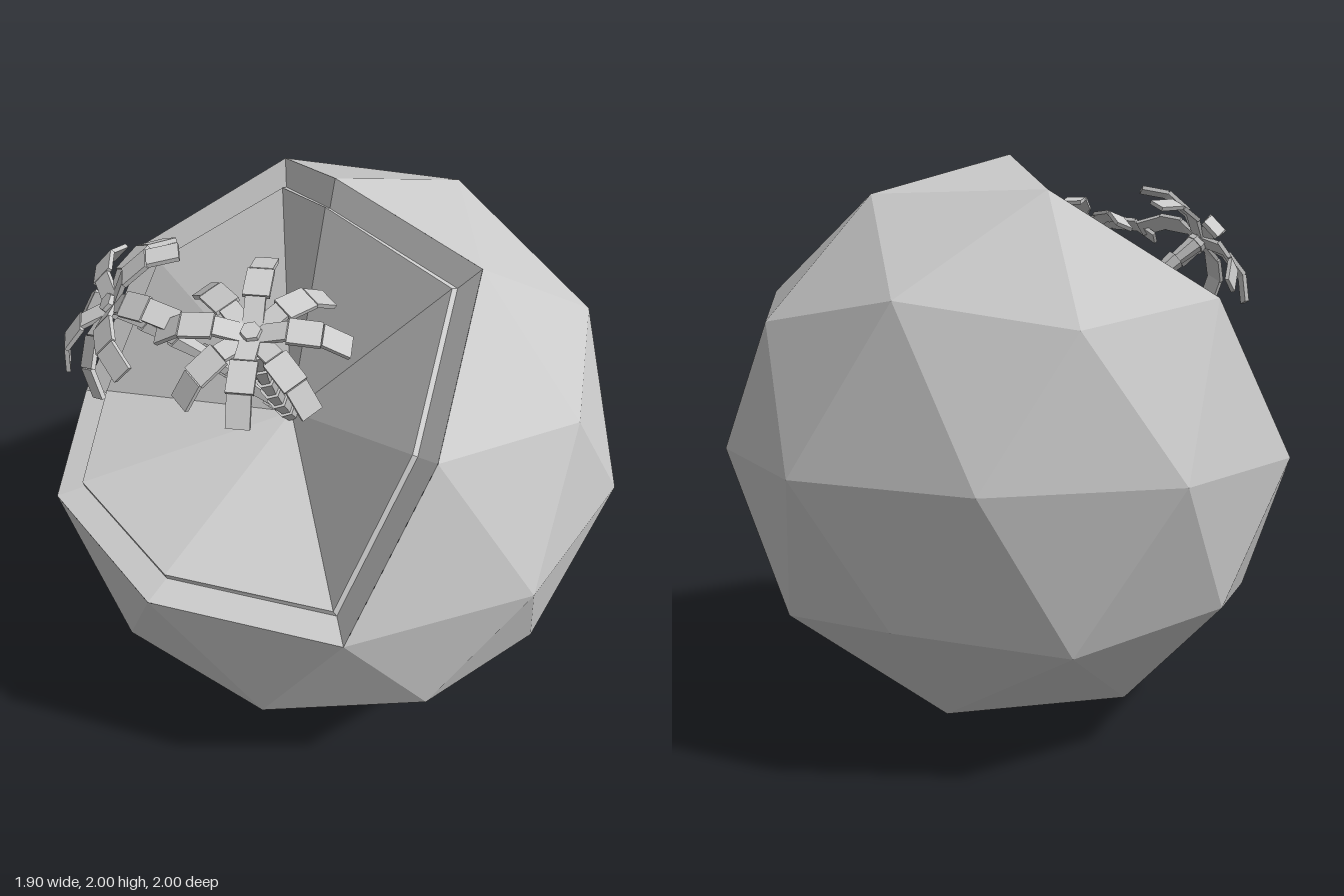
import * as THREE from 'three';
import { ConvexGeometry } from 'three/addons/geometries/ConvexGeometry.js';

const V = (x, y, z) => new THREE.Vector3(x, y, z);
const grey = new THREE.MeshStandardMaterial({ color: 0xcccccc, flatShading: true });
const greyDouble = new THREE.MeshStandardMaterial({ color: 0xcccccc, flatShading: true, side: THREE.DoubleSide });

function addMesh(parent, name, geometry, material = grey) {
  const mesh = new THREE.Mesh(geometry, material);
  mesh.name = name;
  parent.add(mesh);
  return mesh;
}

function fromTriangles(points) {
  const g = new THREE.BufferGeometry().setFromPoints(points);
  g.computeVertexNormals();
  return g;
}

// Faceted globe (80 faces) with the faces around the opening left out
function globeGeometry() {
  const pts = [V(0, 1, 0), V(0, -1, 0)];
  const ring = (y, r, offset, n) => {
    for (let i = 0; i < n; i++) {
      const a = offset + (i * 2 * Math.PI) / n;
      const p = V(r * Math.cos(a), y, r * Math.sin(a));
      pts.push(p);
      if (y > 0) pts.push(p.clone().negate());
    }
  };
  ring(0.8507, 0.5257, 0, 5);
  ring(0.4472, 0.8944, 0, 5);
  ring(0.5257, 0.8507, Math.PI / 5, 5);
  ring(0, 1, Math.PI / 10, 10);
  const pos = new ConvexGeometry(pts).attributes.position;
  const openDir = V(-0.7071, 0.7071, 0);
  const kept = [];
  for (let i = 0; i < pos.count; i += 3) {
    const tri = [0, 1, 2].map((k) => new THREE.Vector3().fromBufferAttribute(pos, i + k));
    if (tri.every((p) => p.dot(openDir) < 0.75)) kept.push(...tri.map((p) => p.setY(p.y + 1)));
  }
  return fromTriangles(kept);
}

// Hollow: rim band, small raised step, then facets meeting at the apex
function addHollow(parent) {
  const half = [V(0.162, 1.851, -0.5), V(-0.263, 1.526, -0.809), V(-0.588, 1, -0.809), V(-0.951, 1, -0.309)];
  const mirrored = half.map((p) => V(p.x, p.y, -p.z)).reverse();
  const outer = [V(0, 2, 0), ...half, ...mirrored];
  const n = outer.length;
  const apex = V(-0.18, 1.18, 0);
  const inner = outer.map((p) => p.clone().lerp(apex, 0.115));
  const raised = inner.map((p, i) => {
    const prev = inner[(i + n - 1) % n], next = inner[(i + 1) % n];
    const normal = next.clone().sub(prev).cross(apex.clone().sub(prev)).normalize();
    return p.clone().addScaledVector(normal, 0.02);
  });
  const top = apex.clone().add(V(-0.01, 0.015, 0));
  const band = (a, b) => {
    const tris = [];
    for (let i = 0; i < n; i++) {
      const j = (i + 1) % n;
      tris.push(a[i], a[j], b[j], a[i], b[j], b[i]);
    }
    return fromTriangles(tris);
  };
  addMesh(parent, 'openingRim', band(outer, inner), greyDouble);
  addMesh(parent, 'openingStep', band(inner, raised), greyDouble);
  addMesh(parent, 'hollowFacets', fromTriangles(raised.flatMap((p, i) => [p, raised[(i + 1) % n], top])), greyDouble);
}

// Leaf: three thin plates bending downwards
function makeLeaf(length, lift) {
  const leaf = new THREE.Group();
  leaf.name = 'leaf';
  let x = 0.015, y = 0;
  [lift, lift - 0.45, lift - 1.0].forEach((pitch, i) => {
    const dx = Math.cos(pitch) * length, dy = Math.sin(pitch) * length;
    const plate = addMesh(leaf, 'leafPlate', new THREE.BoxGeometry(length, 0.014, [0.06, 0.08, 0.07][i]));
    plate.position.set(x + dx / 2, y + dy / 2, 0);
    plate.rotation.z = pitch;
    x += dx;
    y += dy;
  });
  return leaf;
}

// Palm: flared trunk sections along a curve and a tilted crown of leaves
function makePalm(name, base, bend, tip, axis, turn) {
  const palm = new THREE.Group();
  palm.name = name;
  const up = V(0, 1, 0);
  const curve = new THREE.QuadraticBezierCurve3(base, bend, tip);
  const sections = 7;
  for (let i = 0; i < sections; i++) {
    const a = curve.getPoint(i / sections), b = curve.getPoint((i + 1) / sections);
    const d = b.clone().sub(a);
    const part = addMesh(palm, 'trunkSection', new THREE.CylinderGeometry(0.036, 0.026, d.length() * 1.05, 6));
    part.position.copy(a).lerp(b, 0.5);
    part.quaternion.setFromUnitVectors(up, d.normalize());
  }
  const crown = new THREE.Group();
  crown.name = 'crown';
  crown.position.copy(tip);
  crown.quaternion.setFromUnitVectors(up, axis.normalize());
  addMesh(crown, 'crownHeart', new THREE.CylinderGeometry(0.03, 0.04, 0.05, 6));
  const leaves = 8;
  for (let i = 0; i < leaves; i++) {
    const leaf = makeLeaf(0.098, i % 2 ? 0.35 : 0.15);
    leaf.rotation.y = turn + (i * 2 * Math.PI) / leaves;
    crown.add(leaf);
  }
  palm.add(crown);
  return palm;
}

export function createModel() {
  const model = new THREE.Group();
  model.name = 'hollowGlobeWithPalms';
  addMesh(model, 'globeShell', globeGeometry());
  addHollow(model);
  model.add(makePalm('backPalm', V(-0.19, 1.19, -0.01), V(-0.4, 1.46, -0.07), V(-0.7, 1.71, -0.2), V(-0.7, 0.66, -0.25), 0.2));
  model.add(makePalm('frontPalm', V(-0.19, 1.19, 0.01), V(-0.39, 1.45, 0.13), V(-0.49, 1.75, 0.25), V(-0.3, 0.85, 0.3), 0));
  return model;
}
